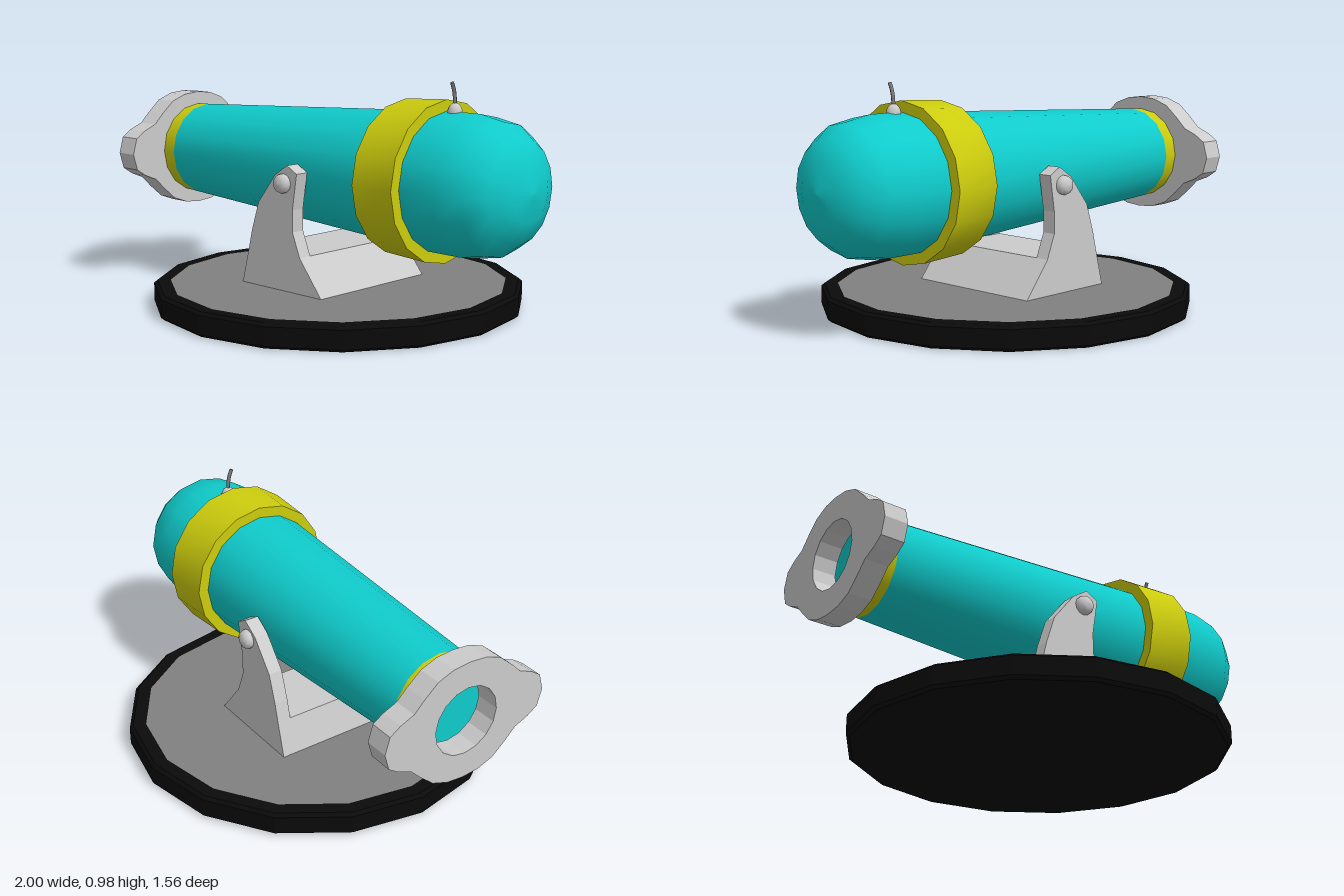
import * as THREE from 'three';
import { toCreasedNormals } from 'three/addons/utils/BufferGeometryUtils.js';

const AXIS_Y = 0.58;
const SIDES = 16;

const material = (color, flatShading = false) =>
  new THREE.MeshStandardMaterial({ color, flatShading });
const teal = material(0x10cccc);
const yellow = material(0xcccc0e);
const grey = material(0xcccccc);
const flatGrey = material(0xcccccc, true);
const discGrey = material(0x808080, true);
const black = material(0x0a0a0a, true);

function add(parent, name, geometry, mat, x = 0, y = 0, z = 0) {
  const mesh = new THREE.Mesh(geometry, mat);
  mesh.name = name;
  mesh.position.set(x, y, z);
  parent.add(mesh);
  return mesh;
}

const points = list => list.map(([a, b]) => new THREE.Vector2(a, b));

// Revolves [x, radius] pairs about the barrel axis
function turned(profile) {
  const lathe = new THREE.LatheGeometry(points(profile.map(([x, r]) => [r, x])), SIDES);
  return lathe.rotateZ(-Math.PI / 2);
}

function bracketPlate(outline, depth) {
  return new THREE.ExtrudeGeometry(new THREE.Shape(points(outline)), { depth, bevelEnabled: false })
    .translate(0, 0, -depth / 2);
}

export function createModel() {
  const model = new THREE.Group();

  // Round base with a dark rim and a grey top disc
  const base = new THREE.Group();
  base.name = 'base';
  model.add(base);
  add(base, 'baseRim', new THREE.LatheGeometry(points([
    [0, 0], [0.765, 0], [0.78, 0.012], [0.78, 0.088], [0.765, 0.1], [0.71, 0.1],
  ]), SIDES), black);
  add(base, 'baseDisc', new THREE.CircleGeometry(0.71, SIDES).rotateX(-Math.PI / 2), discGrey, 0, 0.1, 0);

  // U-shaped bracket: two side plates joined by a low bridge
  const bracket = new THREE.Group();
  bracket.name = 'bracket';
  model.add(bracket);
  const plate = bracketPlate([
    [-0.26, 0.1], [0.2, 0.1], [0.08, 0.25], [0.04, 0.35], [0.04, 0.44], [0.065, 0.59],
    [0.01, 0.62], [-0.06, 0.575], [-0.16, 0.45], [-0.2, 0.33], [-0.22, 0.25],
  ], 0.06);
  const bridge = bracketPlate([[-0.26, 0.1], [0.2, 0.1], [0.08, 0.25], [-0.22, 0.25]], 0.5);
  add(bracket, 'bridge', bridge, flatGrey);

  // Domed pivot bolts on the outer faces
  const bolt = new THREE.LatheGeometry(points([
    [0.04, 0], [0.04, 0.012], [0.034, 0.026], [0.019, 0.034], [0, 0.037],
  ]), 12).rotateX(Math.PI / 2);
  for (const side of [1, -1]) {
    const label = side > 0 ? 'front' : 'back';
    add(bracket, label + 'Plate', plate, flatGrey, 0, 0, side * 0.28);
    const head = add(bracket, label + 'Bolt', bolt, grey, -0.01, 0.545, side * 0.31);
    if (side < 0) head.rotation.y = Math.PI;
  }

  // Tapered barrel with a rounded breech
  const barrel = new THREE.Group();
  barrel.name = 'barrel';
  barrel.position.y = AXIS_Y;
  model.add(barrel);
  const body = [[-0.83, 0.204], [0.37, 0.268], [0.6, 0.28], [0.74, 0.28]];
  for (const [x, r] of [[0.86, 0.258], [0.94, 0.2], [0.985, 0.11], [1, 0]]) body.push([x, r]);
  // Lathe profiles run toward +x, so faces point outward
  add(barrel, 'barrelBody', turned(body), teal);
  add(barrel, 'boreEnd', new THREE.CircleGeometry(0.2, SIDES).rotateY(-Math.PI / 2), teal, -0.885, 0, 0);
  add(barrel, 'muzzleBand', turned([[-0.9, 0.2], [-0.83, 0.204]]), yellow);
  add(barrel, 'breechRing', toCreasedNormals(turned([
    [0.37, 0.26], [0.37, 0.313], [0.58, 0.324], [0.58, 0.27],
  ]), 0.6), yellow);

  // Muzzle flange: round centre, side lobes and a round hole
  const quarter = [[0.375, 0], [0.355, 0.07], [0.31, 0.1], [0.25, 0.125],
    [0.205, 0.17], [0.145, 0.222], [0.075, 0.248], [0, 0.255]];
  const upper = [...quarter, ...quarter.slice(0, -1).reverse().map(([z, y]) => [-z, y])];
  const lower = upper.slice(1, -1).map(([z, y]) => [-z, -y]);
  const flange = new THREE.Shape(points([...upper, ...lower]));
  flange.holes.push(new THREE.Path().absarc(0, 0, 0.145, 0, Math.PI * 2, true));
  const flangeGeometry = new THREE.ExtrudeGeometry(flange, { depth: 0.1, bevelEnabled: false, curveSegments: 8 })
    .rotateY(-Math.PI / 2);
  add(barrel, 'muzzleFlange', flangeGeometry, flatGrey, -0.9, 0, 0);

  // Fuse: small dome and a curved wick
  const fuse = new THREE.Group();
  fuse.name = 'fuse';
  fuse.position.set(0.62, AXIS_Y + 0.275, 0);
  model.add(fuse);
  add(fuse, 'fuseSocket', new THREE.SphereGeometry(0.03, 12, 6, 0, Math.PI * 2, 0, Math.PI / 2)
    .scale(1, 1.3, 1), grey);
  const wick = new THREE.CatmullRomCurve3([
    new THREE.Vector3(0, 0.02, 0), new THREE.Vector3(0, 0.06, 0.002),
    new THREE.Vector3(0, 0.09, 0.008), new THREE.Vector3(0, 0.118, 0.02),
  ]);
  add(fuse, 'wick', new THREE.TubeGeometry(wick, 6, 0.008, 6), material(0x808080));
  add(fuse, 'wickTip', new THREE.CircleGeometry(0.008, 6).rotateX(-Math.PI / 2 + 0.4), discGrey, 0, 0.118, 0.02);

  return model;
}
